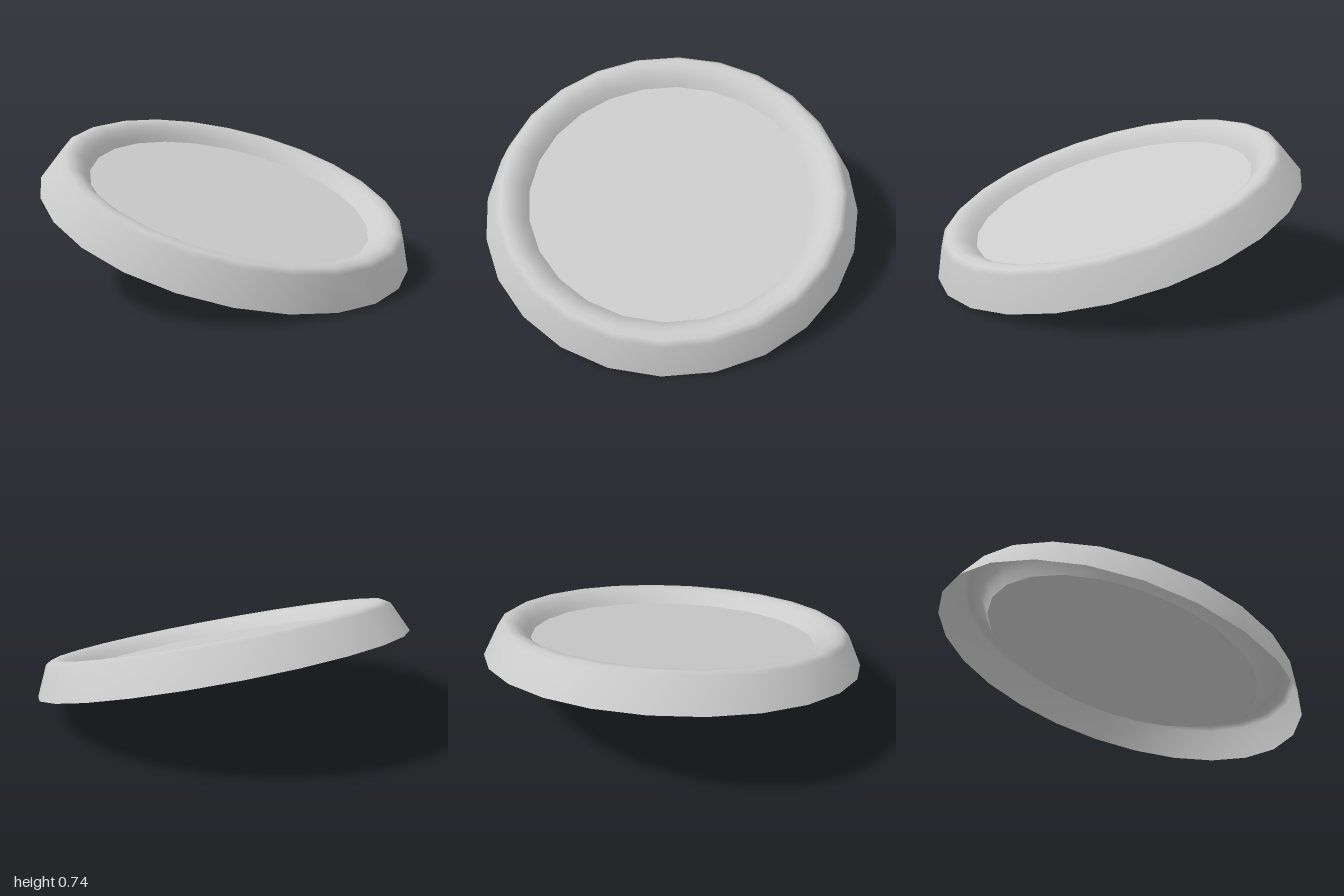
import * as THREE from 'three';

const SIDES = 24;
const TILT = 0.308;

export function createModel() {
  const model = new THREE.Group();
  model.name = 'tiltedDish';
  const material = new THREE.MeshStandardMaterial({ color: 0xcccccc, side: THREE.DoubleSide });

  // Thin rim: sloping outer wall, rounded crest, inner wall down to the plate
  const profile = [
    [1, 0], [0.927, 0.159], [0.897, 0.177], [0.86, 0.178],
    [0.822, 0.162], [0.785, 0.13], [0.757, 0.093],
  ].map(([r, y]) => new THREE.Vector2(r, y));
  const rim = new THREE.Mesh(new THREE.LatheGeometry(profile, SIDES), material);
  rim.name = 'rim';

  // Flat plate closing the inside of the rim
  const plate = new THREE.Mesh(new THREE.CircleGeometry(0.757, SIDES).rotateX(-Math.PI / 2), material);
  plate.name = 'plate';
  plate.position.y = 0.093;

  // Lean the dish so its front edge touches the floor
  const dish = new THREE.Group();
  dish.name = 'dish';
  dish.add(rim, plate);
  dish.rotation.x = TILT;
  dish.position.y = Math.sin(TILT);
  model.add(dish);
  return model;
}
